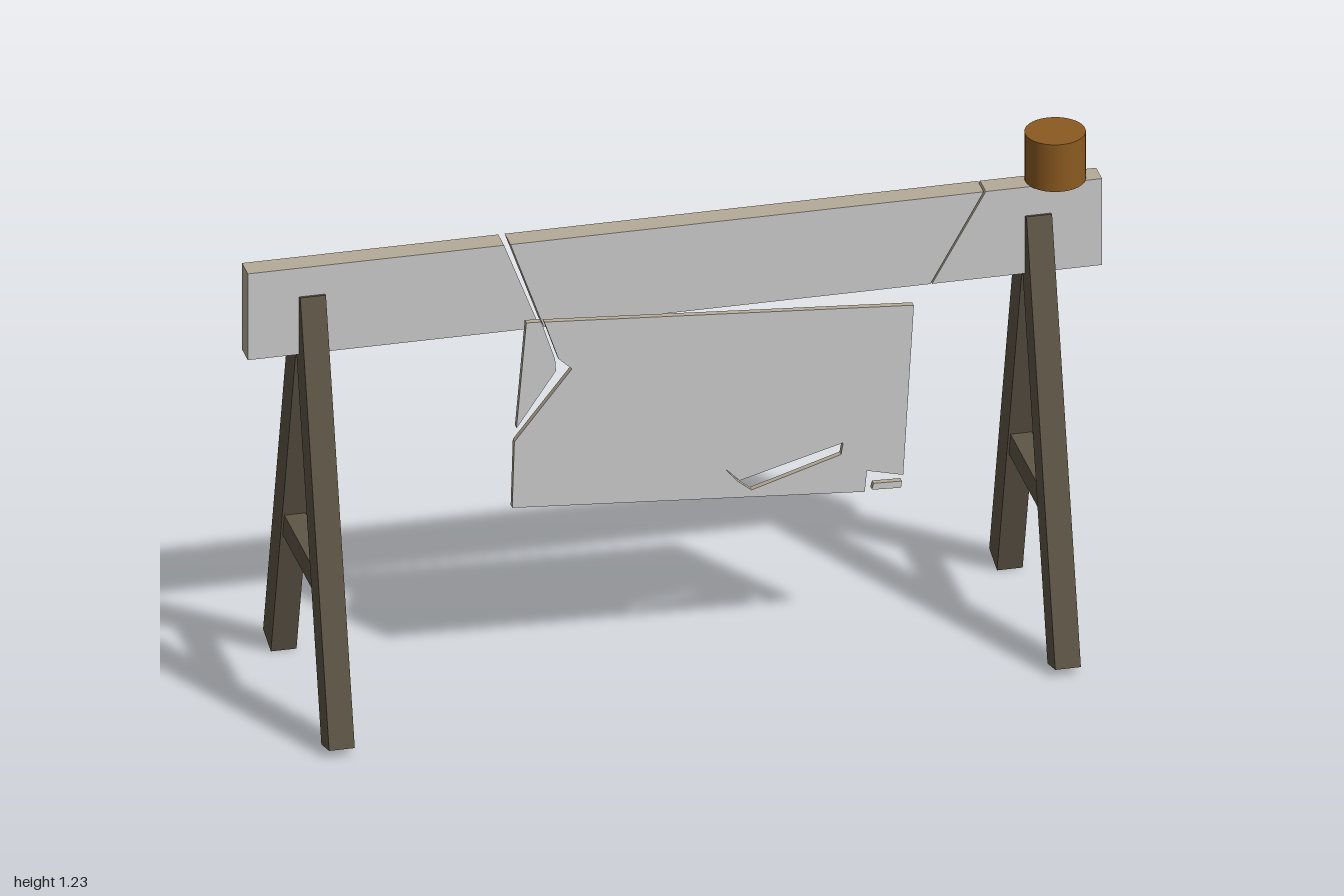
import * as THREE from 'three';

const paint = (name, color) => {
  const m = new THREE.MeshStandardMaterial({ color });
  m.name = name;
  return m;
};
const shapeOf = (pts) => new THREE.Shape(pts.map(([x, y]) => new THREE.Vector2(x, y)));

export function createModel() {
  const model = new THREE.Group();
  const grey = paint('panelFace', 0xcbcbcb);
  const beige = paint('rawWood', 0xb5ab99);
  const brown = paint('legWood', 0x5e5546);
  const dark = paint('gougedWood', 0x3d372c);
  const amber = paint('lampBrown', 0x8b5a20);

  const add = (parent, name, geometry, material, x = 0, y = 0, z = 0) => {
    const mesh = new THREE.Mesh(geometry, material);
    mesh.name = name;
    mesh.position.set(x, y, z);
    parent.add(mesh);
    return mesh;
  };
  const slab = (shape, depth) => new THREE.ExtrudeGeometry(shape, { depth, bevelEnabled: false });

  // Beam, split into three by slanted cracks
  const beam = new THREE.Group();
  beam.name = 'beam';
  model.add(beam);
  const lo = 0.895, hi = 1.115;
  const beamPieces = [
    [[-1, lo], [-0.316, lo], [-0.4, hi], [-1, hi]],
    [[-0.307, lo], [0.598, lo], [0.723, hi], [-0.385, hi]],
    [[0.602, lo], [1, lo], [1, hi], [0.728, hi]],
  ];
  beamPieces.forEach((pts, i) =>
    add(beam, `beamPiece${i + 1}`, slab(shapeOf(pts), 0.056), [grey, beige], 0, 0, -0.028));

  // Hanging broken sign: main board, side chip and a corner splinter
  const sign = new THREE.Group();
  sign.name = 'brokenSign';
  model.add(sign);
  const board = shapeOf([
    [-0.39, 0.463], [0.435, 0.404], [0.44, 0.457], [0.525, 0.436], [0.55, 0.865],
    [-0.315, 0.927], [-0.282, 0.83], [-0.25, 0.8], [-0.385, 0.63],
  ]);
  board.holes.push(shapeOf([
    [0.105, 0.505], [0.142, 0.468], [0.385, 0.535], [0.38, 0.505], [0.17, 0.44], [0.138, 0.466],
  ]));
  const chip = shapeOf([[-0.38, 0.665], [-0.288, 0.8], [-0.29, 0.83], [-0.322, 0.928], [-0.357, 0.93]]);
  const splinter = shapeOf([[0.452, 0.407], [0.52, 0.404], [0.522, 0.42], [0.456, 0.422]]);
  [['board', board], ['chip', chip], ['splinter', splinter]].forEach(([name, shape]) => {
    add(sign, name, slab(shape, 0.015), beige, 0, 0, 0.05);
    add(sign, `${name}Front`, new THREE.ShapeGeometry(shape), grey, 0, 0, 0.0665);
  });

  // A-shaped trestles
  for (const side of [-1, 1]) {
    const trestle = new THREE.Group();
    trestle.name = side > 0 ? 'leftTrestle' : 'rightTrestle';
    trestle.position.x = side * 0.85;
    model.add(trestle);
    for (const s of [-1, 1]) {
      const leg = add(trestle, s > 0 ? 'frontLeg' : 'backLeg',
        new THREE.BoxGeometry(0.06, 1.056, 0.077), brown, 0, 0.525, s * 0.14);
      leg.rotation.x = -s * 0.263;
      // Small gouge on one rear leg
      if (side > 0 && s < 0) {
        const gouge = shapeOf([[-0.022, -0.34], [0.02, -0.22], [-0.014, -0.25]]);
        add(leg, 'gouge', slab(gouge, 0.002), dark, 0, 0, -0.04);
      }
    }
    add(trestle, 'crossbar', new THREE.BoxGeometry(0.05, 0.058, 0.34), brown, 0, 0.376, 0);
  }

  // Warning lamp on the beam
  add(model, 'lamp', new THREE.CylinderGeometry(0.07, 0.07, 0.12, 32), amber, 0.897, 1.175, 0);

  return model;
}
